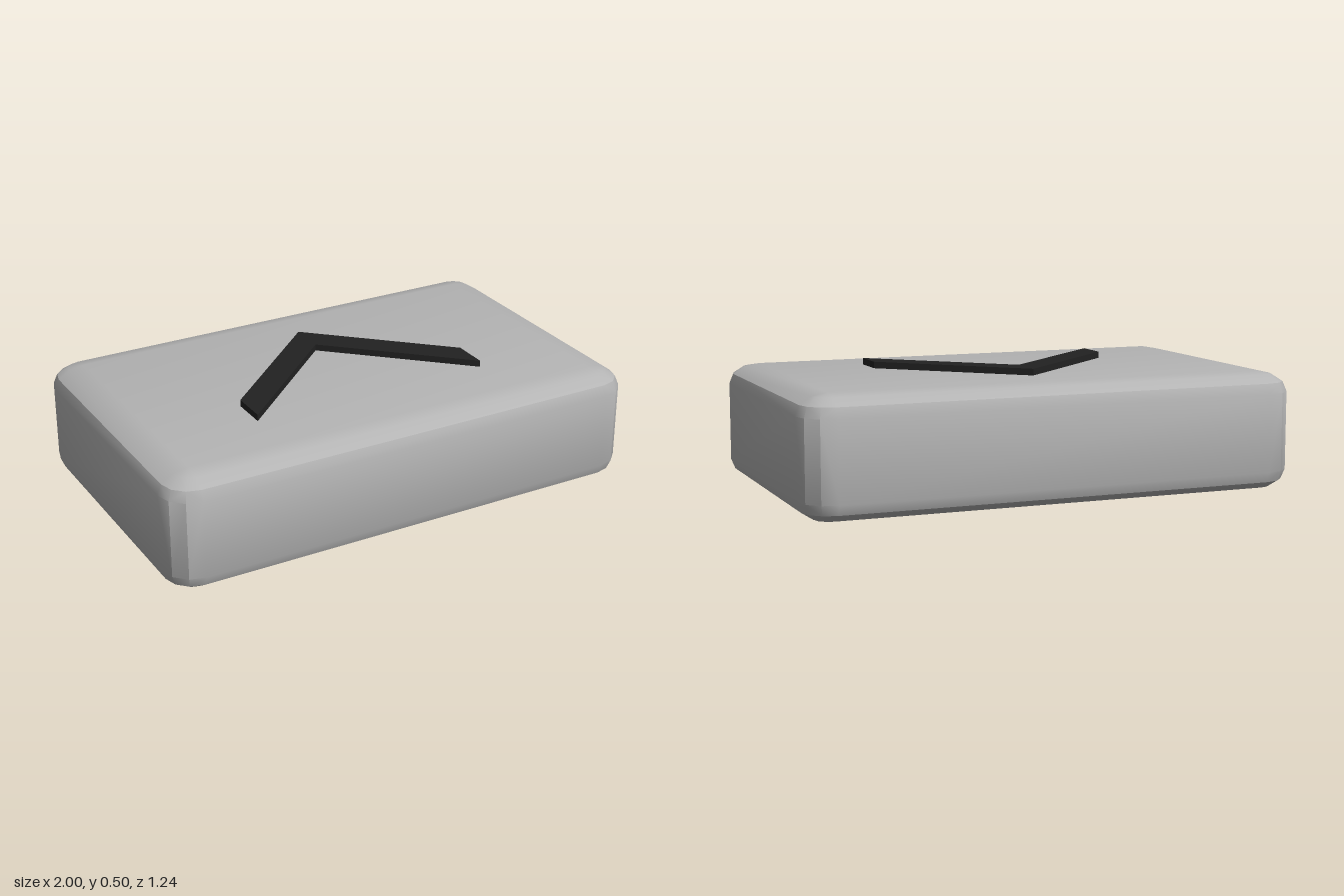
import * as THREE from 'three';
import { toCreasedNormals } from 'three/addons/utils/BufferGeometryUtils.js';
import { ConvexGeometry } from 'three/addons/geometries/ConvexGeometry.js';

const grey = new THREE.MeshStandardMaterial({ color: 0xb4b4b4 });
grey.name = 'body grey';
const black = new THREE.MeshStandardMaterial({ color: 0x222222 });
black.name = 'arrow black';

// Box whose corners are eighths of a flattened ball, three facets per quarter turn
function softBlock(half, radius, steps) {
  const points = [];
  for (const sx of [-1, 1]) for (const sy of [-1, 1]) for (const sz of [-1, 1]) {
    for (let i = 0; i <= steps; i++) {
      const lat = (i / steps) * Math.PI / 2;
      const turns = i === steps ? 0 : steps;
      for (let j = 0; j <= turns; j++) {
        const lon = (j / steps) * Math.PI / 2;
        points.push(new THREE.Vector3(
          sx * (half.x - radius.x + radius.x * Math.cos(lat) * Math.cos(lon)),
          sy * (half.y - radius.y + radius.y * Math.sin(lat)),
          sz * (half.z - radius.z + radius.z * Math.cos(lat) * Math.sin(lon))
        ));
      }
    }
  }
  return toCreasedNormals(new ConvexGeometry(points), Math.PI / 6);
}

export function createModel() {
  const model = new THREE.Group();
  model.name = 'arrowBlock';

  // Rounded block
  const half = new THREE.Vector3(1, 0.235, 0.62);
  const body = new THREE.Mesh(softBlock(half, new THREE.Vector3(0.125, 0.08, 0.125), 3), grey);
  body.name = 'body';
  body.position.y = half.y;
  model.add(body);

  // Raised chevron pointing to the back
  const outline = [[0, 0.315], [-0.495, -0.145], [-0.495, -0.29], [0, 0.168], [0.495, -0.29], [0.495, -0.145]];
  const shape = new THREE.Shape(outline.map(([x, y]) => new THREE.Vector2(x, y)));
  const plate = new THREE.ExtrudeGeometry(shape, { depth: 0.035, bevelEnabled: false });
  plate.rotateX(-Math.PI / 2);
  const chevron = new THREE.Mesh(plate, black);
  chevron.name = 'chevron';
  chevron.position.y = 0.461;
  model.add(chevron);

  return model;
}
